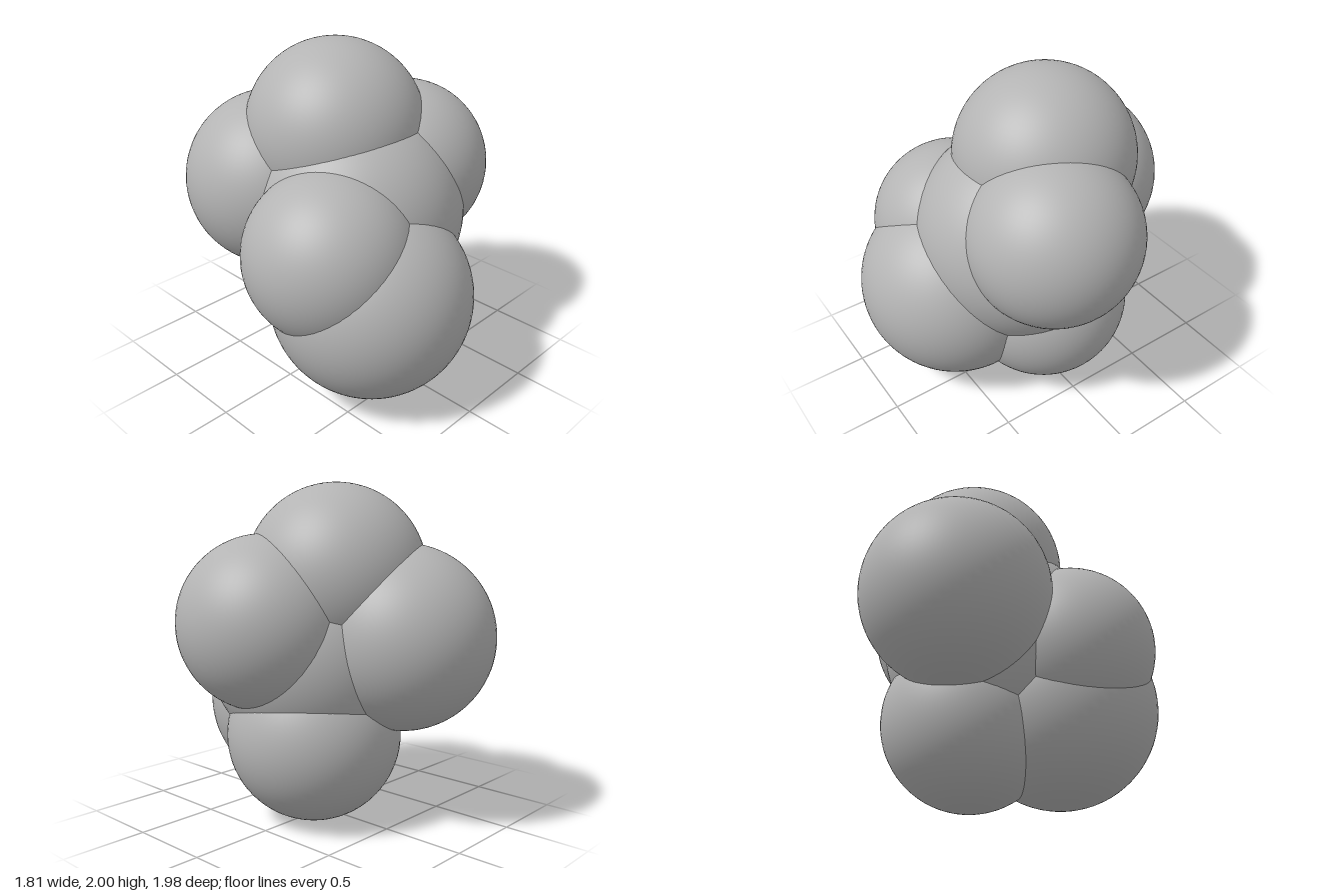
import * as THREE from 'three';

// A cluster of smooth overlapping balls around a central core.
export function createModel() {
  const model = new THREE.Group();
  model.name = 'sphereCluster';
  const grey = new THREE.MeshStandardMaterial({ color: 0xb4b4b4 });
  grey.name = 'grey';

  // name, centre x, y, z, radius
  const balls = [
    ['coreBall', 0.015, 1.0, 0.055, 0.648],
    ['topBall', 0.01, 1.465, -0.105, 0.535],
    ['leftBall', 0.39, 1.2, 0.1, 0.51],
    ['rightBall', -0.41, 0.92, 0.275, 0.5],
    ['frontBall', -0.21, 0.63, 0.4, 0.59],
    ['bottomBall', 0.12, 0.522, -0.03, 0.52],
    ['backBall', -0.185, 1.11, -0.445, 0.545],
  ];

  for (const [name, x, y, z, radius] of balls) {
    const ball = new THREE.Mesh(new THREE.SphereGeometry(radius, 64, 40), grey);
    ball.name = name;
    ball.position.set(x, y, z);
    model.add(ball);
  }
  return model;
}
